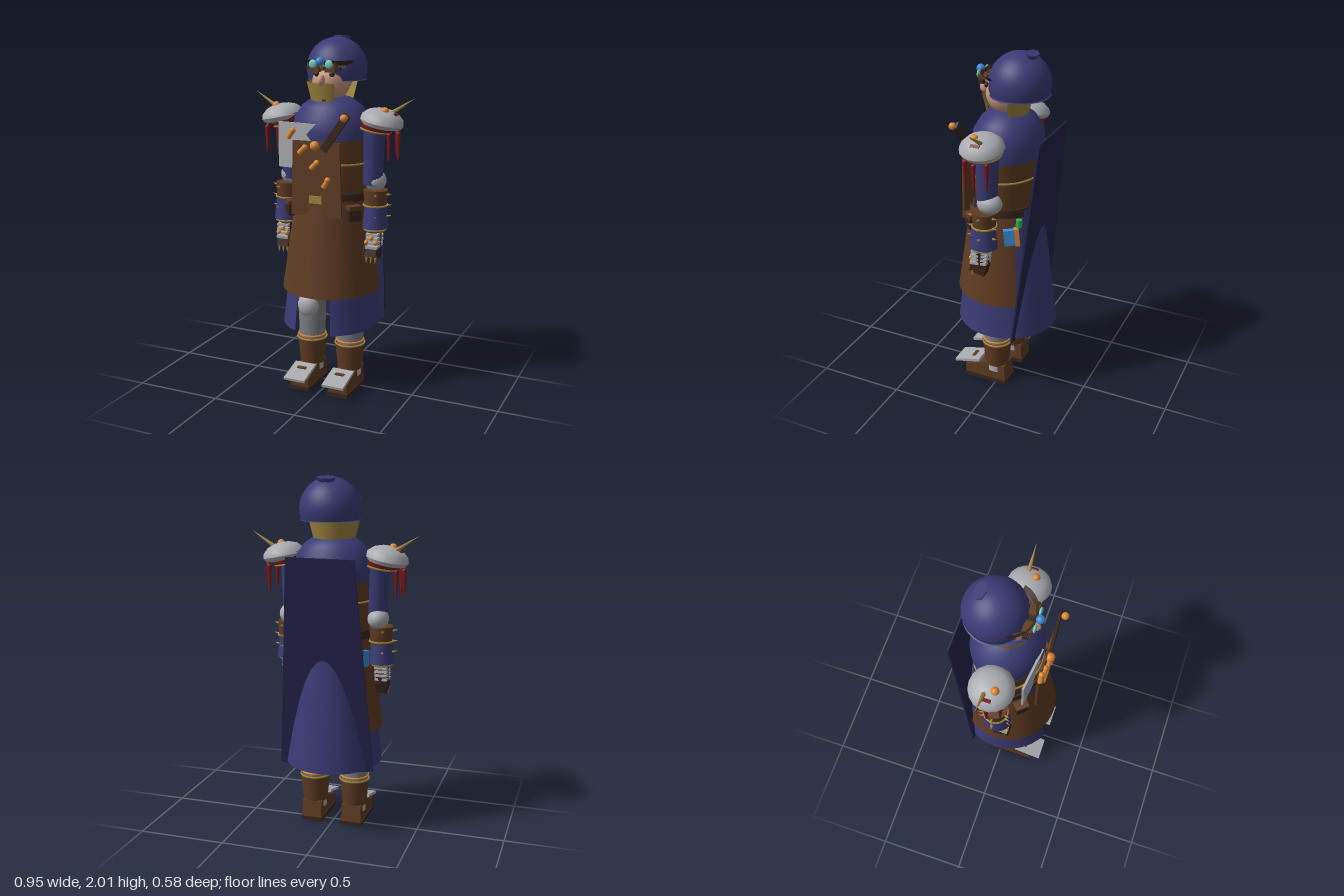
import * as THREE from 'three';
import { toCreasedNormals } from 'three/addons/utils/BufferGeometryUtils.js';

const palette = {
  blue: 0x3a3a75, navy: 0x23234a, brown: 0x5e3b22, dark: 0x38241a, gold: 0x9f8440, orange: 0xdd8630,
  red: 0x78181c, silver: 0xa9abb0, grey: 0x7c7d82, skin: 0xc9987f, sky: 0x3c8ad8, teal: 0x6fd0c0, green: 0x35b045,
};
const mats = {};
for (const k in palette) mats[k] = new THREE.MeshStandardMaterial({ color: palette[k], side: THREE.DoubleSide });

function add(parent, name, geo, color, pos = [0, 0, 0], rot = [0, 0, 0], scale = [1, 1, 1]) {
  const m = new THREE.Mesh(geo, mats[color]);
  m.name = name;
  m.position.set(...pos);
  m.rotation.set(...rot);
  m.scale.set(...scale);
  parent.add(m);
  return m;
}
const box = (w, h, d) => new THREE.BoxGeometry(w, h, d);
const ball = (r) => new THREE.SphereGeometry(r, 18, 12);
const cyl = (rt, rb, h, n = 20) => new THREE.CylinderGeometry(rt, rb, h, n);
const ring = (r, t) => new THREE.TorusGeometry(r, t, 6, 28).rotateX(Math.PI / 2);
const lathe = (pts, n = 32) => toCreasedNormals(new THREE.LatheGeometry(pts.map((p) => new THREE.Vector2(...p)), n), 0.7);
// Open wrap of cloth: angles are measured from the front towards the left
const wrap = (rt, rb, h, a0, a1) => new THREE.CylinderGeometry(rt, rb, h, 32, 1, true, a0, a1 - a0);
const plate = (pts, depth) => new THREE.ExtrudeGeometry(
  new THREE.Shape(pts.map((p) => new THREE.Vector2(...p))), { depth, bevelEnabled: false });
// Spike or rod whose base and tip are given as points
function spike(parent, name, color, a, b, r, rTip = 0.001) {
  const from = new THREE.Vector3(...a), to = new THREE.Vector3(...b), d = to.clone().sub(from);
  const m = add(parent, name, cyl(rTip, r, d.length(), 8), color, from.clone().add(to).multiplyScalar(0.5).toArray());
  m.quaternion.setFromUnitVectors(new THREE.Vector3(0, 1, 0), d.normalize());
  return m;
}

function buildHead(g) {
  add(g, 'face', ball(0.11), 'skin', [0, 1.765, 0.01], [0, 0, 0], [0.95, 1, 1]);
  add(g, 'nose', ball(0.024), 'skin', [0, 1.78, 0.138], [0, 0, 0], [0.8, 1.3, 1.1]);
  add(g, 'mouth', box(0.05, 0.008, 0.01), 'dark', [0, 1.72, 0.108]);
  for (const s of [-1, 1]) {
    add(g, 'ear', ball(0.026), 'skin', [s * 0.1, 1.77, -0.005], [0, 0, 0], [0.5, 1.2, 1]);
    add(g, 'eye', ball(0.015), 'dark', [s * 0.045, 1.81, 0.1]);
  }
  // Domed hood with a flat lower rim and a small tuft
  const dome = [[0, 0], [0.165, 0]];
  for (let i = 0; i <= 12; i++) {
    const a = -0.34 + (i / 12) * (Math.PI / 2 + 0.34);
    dome.push([0.168 * Math.cos(a), 0.06 + 0.17 * Math.sin(a)]);
  }
  add(g, 'hood', lathe(dome), 'blue', [0, 1.77, -0.07]);
  add(g, 'hoodTuft', cyl(0.055, 0.03, 0.05, 7), 'blue', [0, 1.975, -0.135], [-0.25, 0, 0], [1, 1, 0.6]);
  // Goggles
  add(g, 'goggleBrim', wrap(0.15, 0.115, 0.035, -1.35, 1.35), 'dark', [0, 1.865, 0], [0, 0, 0], [1, 1, 0.95]);
  add(g, 'goggleBand', wrap(0.118, 0.118, 0.025, -1.6, 1.6), 'grey', [0, 1.855, 0.005]);
  add(g, 'goggleBridge', box(0.2, 0.018, 0.03), 'dark', [0, 1.84, 0.112]);
  for (const s of [-1, 1]) {
    add(g, 'goggleCup', box(0.06, 0.045, 0.05), 'brown', [s * 0.047, 1.845, 0.112]);
    add(g, 'goggleLens', ball(0.023), 'teal', [s * 0.047, 1.865, 0.145], [0, 0, 0], [1, 1, 0.4]);
  }
  add(g, 'loupe', ball(0.023), 'sky', [0, 1.88, 0.158]);
  spike(g, 'loupeArm', 'gold', [0, 1.88, 0.15], [0, 1.84, 0.13], 0.006, 0.006);
  // Stiff collar, open on the left
  add(g, 'collar', wrap(0.14, 0.112, 0.115, 2.0, 6.78), 'gold', [0, 1.705, 0.0], [0, 0, 0], [1, 1, 0.97]);
  add(g, 'collarSlot', box(0.018, 0.01, 0.01), 'dark', [0.005, 1.67, 0.118]);
}

function buildTorso(g) {
  add(g, 'mantle', lathe([[0.05, 1.69], [0.1, 1.675], [0.15, 1.635], [0.19, 1.57], [0.2, 1.5], [0.198, 1.44], [0.15, 1.43]]),
    'blue', [0, 0, -0.005], [0, 0, 0], [1.12, 1, 0.98]);
  add(g, 'vest', cyl(0.195, 0.175, 0.31, 32), 'brown', [0, 1.305, 0], [0, 0, 0], [1.15, 1, 0.97]);
  add(g, 'vestTrim', ring(0.19, 0.006), 'gold', [0, 1.33, 0], [0, 0, 0], [1.15, 1, 0.97]);
  add(g, 'belt', cyl(0.186, 0.19, 0.045, 32), 'dark', [0, 1.145, 0], [0, 0, 0], [1.12, 1, 0.98]);
  // Long coat, open at the front, under the wrapped apron
  add(g, 'coat', wrap(0.195, 0.29, 0.77, 0.4, 2 * Math.PI - 0.4), 'blue', [0, 0.775, 0], [0, 0, 0], [0.95, 1, 1]);
  add(g, 'apronSkirt', wrap(0.205, 0.283, 0.53, -2.2, 2.2), 'brown', [0, 0.865, 0.006], [0, 0, 0], [0.98, 1, 0.99]);
  add(g, 'bib', plate([[-0.15, 1.05], [0.15, 1.05], [0.138, 1.46], [-0.138, 1.46]], 0.014), 'brown', [0, 0, 0.197]);
  add(g, 'buckle', box(0.072, 0.042, 0.016), 'gold', [0, 1.143, 0.213]);
  add(g, 'chestPatch', plate([[-0.25, 1.3], [-0.14, 1.3], [-0.1, 1.42], [-0.03, 1.45], [-0.07, 1.49], [-0.01, 1.55], [-0.25, 1.55]], 0.012),
    'silver', [0.0, 0, 0.18], [0, -0.12, 0]);
  // Strap, beads and vials on the chest
  add(g, 'shoulderStrap', box(0.04, 0.24, 0.016), 'dark', [0.115, 1.515, 0.215], [0, 0, -0.62]);
  add(g, 'strapBead', ball(0.021), 'orange', [0.177, 1.6, 0.242]);
  add(g, 'bibBead', ball(0.026), 'orange', [0, 1.44, 0.226]);
  for (const [x, y, a] of [[-0.148, 1.492, -0.6], [-0.08, 1.41, -0.8], [-0.01, 1.33, -0.8], [0.06, 1.235, -0.5]]) {
    add(g, 'vial', cyl(0.014, 0.014, 0.045, 10), 'orange', [x, y, 0.22], [0, 0, a]);
    add(g, 'vialCap', ball(0.016), 'orange', [x - 0.026 * Math.sin(a), y + 0.026 * Math.cos(a), 0.22]);
  }
  // Belt pouches and flasks
  for (const s of [-1, 1]) {
    add(g, 'pouch', box(0.07, 0.075, 0.045), 'dark', [s * 0.19, 1.065, 0.135], [0, s * 0.85, 0]);
    add(g, 'pouchFlap', box(0.076, 0.025, 0.052), 'brown', [s * 0.19, 1.1, 0.135], [0, s * 0.85, 0]);
    add(g, 'flask', box(0.035, 0.09, 0.06), 'sky', [s * 0.2, 1.02, -0.1], [0.1, s * 0.5, 0]);
    add(g, 'flaskHolder', box(0.04, 0.1, 0.025), s > 0 ? 'orange' : 'brown', [s * 0.185, 1.025, -0.14], [0.1, s * 0.5, 0]);
  }
  add(g, 'greenFlask', cyl(0.018, 0.018, 0.045, 10), 'green', [0.17, 1.1, -0.145]);
}

function buildCape(g) {
  const s = new THREE.Shape();
  s.moveTo(-0.19, 1.235);
  s.lineTo(0.19, 1.235);
  s.lineTo(0.273, 0.03);
  s.quadraticCurveTo(0, -0.025, -0.273, 0.03);
  const geo = new THREE.ExtrudeGeometry(s, { depth: 0.01, bevelEnabled: false });
  add(g, 'cape', geo, 'navy', [0, 0.355, -0.147], [-0.098, 0, 0]);
}

function buildArm(s) {
  const g = new THREE.Group();
  g.name = s > 0 ? 'leftArm' : 'rightArm';
  add(g, 'sleeve', cyl(0.066, 0.054, 0.36), 'blue', [s * 0.248, 1.39, 0.005]);
  add(g, 'elbowPad', ball(0.062), 'silver', [s * 0.258, 1.23, -0.012], [0, 0, 0], [0.95, 0.95, 1.15]);
  add(g, 'bracer', cyl(0.068, 0.062, 0.1), 'brown', [s * 0.27, 1.135, 0.015]);
  add(g, 'bracerTrim', ring(0.066, 0.006), 'gold', [s * 0.27, 1.1, 0.015]);
  add(g, 'cuff', new THREE.CylinderGeometry(0.058, 0.072, 0.13, 20, 1, true), 'blue', [s * 0.272, 1.04, 0.02], [0, 0, 0], [1, 1, 1.12]);
  add(g, 'cuffTrim', ring(0.058, 0.007), 'gold', [s * 0.272, 0.965, 0.025]);
  for (const y of [1.16, 1.1, 1.04]) for (const a of [0.35, 1.57, 2.79]) {
    const x = s * Math.sin(a), z = Math.cos(a);
    spike(g, 'bracerSpike', 'gold', [s * 0.27 + x * 0.06, y, 0.015 + z * 0.06], [s * 0.27 + x * 0.094, y + 0.008, 0.015 + z * 0.094], 0.009);
  }
  // Gauntlet with banded plates and claws
  add(g, 'gauntlet', cyl(0.042, 0.04, 0.14, 12), 'dark', [s * 0.27, 0.92, 0.03]);
  for (let i = 0; i < 4; i++)
    add(g, 'gauntletBand', box(0.07, 0.016, 0.098), 'silver', [s * 0.274, 0.945 - i * 0.023, 0.032 + i * 0.003], [0.1, 0, 0]);
  add(g, 'fist', box(0.068, 0.06, 0.09), 'dark', [s * 0.27, 0.838, 0.045], [-0.25, 0, 0]);
  for (let i = 0; i < 3; i++) {
    const x = s * (0.245 + i * 0.026);
    add(g, 'knuckleBead', ball(0.013), 'orange', [x, 0.9 + (i % 2) * 0.025, 0.085]);
    spike(g, 'claw', 'gold', [x, 0.825, 0.075], [x, 0.78, 0.085], 0.01);
  }
  spike(g, 'thumb', 'dark', [s * 0.235, 0.9, 0.06], [s * 0.232, 0.835, 0.085], 0.018, 0.012);

  // Shoulder guard, tilted outward
  const pad = new THREE.Group();
  pad.name = 'shoulderGuard';
  pad.position.set(s * 0.297, 1.555, 0.008);
  pad.rotation.z = -s * 0.2;
  g.add(pad);
  add(pad, 'guardPlate', lathe([[0.06, -0.03], [0.11, -0.015], [0.121, 0.005], [0.114, 0.03], [0.085, 0.057], [0.045, 0.072], [0, 0.077]], 18), 'silver');
  add(pad, 'guardLining', cyl(0.1, 0.085, 0.06), 'red', [-s * 0.025, -0.018, 0]);
  add(pad, 'guardTrim', ring(0.087, 0.006), 'gold', [-s * 0.03, -0.046, 0]);
  add(pad, 'guardMark', box(0.018, 0.012, 0.05), 'red', [s * 0.07, 0.06, 0], [0, 0, -s * 0.6]);
  add(g, 'guardBead', ball(0.022), 'orange', [s * 0.325, 1.62, 0.037]);
  spike(g, 'guardSpike', 'gold', [s * 0.345, 1.605, -0.012], [s * 0.476, 1.69, -0.012], 0.013);
  for (const [x, z] of [[0.365, 0.075], [0.395, 0.01], [0.365, -0.05]]) {
    spike(g, 'tassel', 'red', [s * x, 1.5, z], [s * x, 1.36, z], 0.014, 0.005);
    add(g, 'tasselKnot', ball(0.013), 'red', [s * x, 1.5, z]);
  }
  return g;
}

function buildLeg(s) {
  const g = new THREE.Group();
  g.name = s > 0 ? 'leftLeg' : 'rightLeg';
  const x = s * 0.12, z = 0.014;
  add(g, 'legPlate', cyl(0.085, 0.077, 0.56), 'grey', [x, 0.53, z]);
  add(g, 'kneePad', ball(0.065), 'silver', [x, 0.475, z + 0.05], [0, 0, 0], [1, 1.1, 0.8]);
  add(g, 'legRing', ring(0.079, 0.006), 'orange', [x, 0.29, z]);
  add(g, 'bootShaft', cyl(0.086, 0.07, 0.16), 'brown', [x, 0.195, z]);
  add(g, 'bootTrim', ring(0.085, 0.006), 'gold', [x, 0.27, z]);
  add(g, 'ankleBand', cyl(0.064, 0.066, 0.05), 'silver', [x, 0.1, z]);
  // Boot foot drawn from the side and given width
  const side = [[-0.064, 0.02], [0.195, 0.02], [0.2, 0.075], [0.11, 0.105], [0.07, 0.12], [-0.055, 0.12]];
  add(g, 'bootFoot', plate(side, 0.116).rotateY(-Math.PI / 2), 'brown', [x + 0.058, 0, 0]);
  add(g, 'bootSole', box(0.128, 0.022, 0.27), 'dark', [x, 0.011, 0.068]);
  add(g, 'toePlate', box(0.13, 0.016, 0.165), 'silver', [x, 0.105, 0.185], [0.25, 0, 0]);
  add(g, 'toeMark', box(0.055, 0.006, 0.02), 'brown', [x, 0.122, 0.16], [0.25, 0, 0]);
  spike(g, 'toeSpike', 'gold', [x, 0.055, 0.195], [x, 0.075, 0.25], 0.014);
  return g;
}

export function createModel() {
  const model = new THREE.Group();
  model.name = 'cloakedFigure';
  for (const [name, build] of [['head', buildHead], ['torso', buildTorso], ['back', buildCape]]) {
    const g = new THREE.Group();
    g.name = name;
    build(g);
    model.add(g);
  }
  for (const s of [1, -1]) model.add(buildArm(s), buildLeg(s));
  // Gold charm hanging inside the left of the coat
  add(model, 'hipCharm', plate([[0, 0], [0.05, -0.03], [0.06, 0.08], [0.03, 0.03]], 0.01), 'gold', [0.07, 0.53, 0.13]);
  return model;
}
